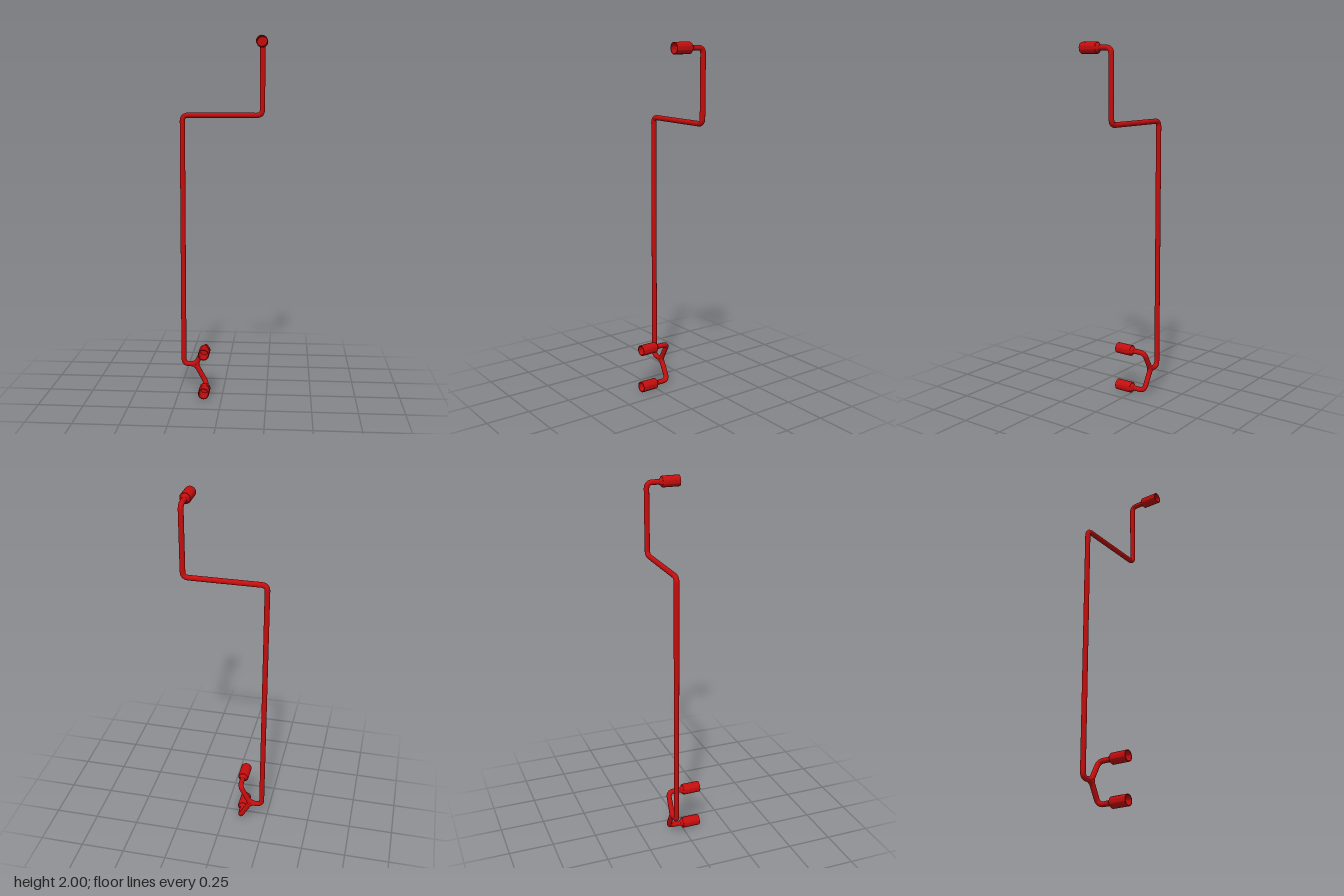
import * as THREE from 'three';
import { toCreasedNormals } from 'three/addons/utils/BufferGeometryUtils.js';

const R = 0.0145;      // pipe radius
const BACK = -0.0855;  // plane in which the pipe runs
const material = new THREE.MeshStandardMaterial({ color: 0xc40d0d, side: THREE.DoubleSide });

// Curve through listed points, sampled exactly at those points
class PointPath extends THREE.Curve {
  constructor(points) { super(); this.points = points; }
  getPointAt(t, target = new THREE.Vector3()) {
    return target.copy(this.points[Math.round(t * (this.points.length - 1))]);
  }
  getTangentAt(t, target = new THREE.Vector3()) {
    const p = this.points, i = Math.round(t * (p.length - 1));
    const dir = (a, b) => p[b].clone().sub(p[a]).normalize();
    target.set(0, 0, 0);
    if (i > 0) target.add(dir(i - 1, i));
    if (i < p.length - 1) target.add(dir(i, i + 1));
    return target.normalize();
  }
}

// Pipe along straight runs whose corners are rounded; a corner is [x, y, z, bend length]
function pipe(name, corners) {
  const v = corners.map(c => new THREE.Vector3(c[0], c[1], c[2]));
  const points = [v[0]];
  for (let i = 1; i < v.length - 1; i++) {
    const bend = corners[i][3] ?? 0.032;
    const toward = q => v[i].clone().add(q.clone().sub(v[i]).setLength(bend));
    points.push(...new THREE.QuadraticBezierCurve3(toward(v[i - 1]), v[i], toward(v[i + 1])).getPoints(8));
  }
  points.push(v[v.length - 1]);
  const mesh = new THREE.Mesh(new THREE.TubeGeometry(new PointPath(points), points.length - 1, R, 20), material);
  mesh.name = name;
  return mesh;
}

// Hollow sleeve with a tapered neck, opening toward the front
function connector(name, x, y) {
  const profile = [[R, -0.016], [0.02, -0.006], [0.0265, 0], [0.029, 0], [0.031, 0.003], [0.031, 0.1],
    [0.026, 0.1], [0.026, 0.012], [0, 0.012]].map(p => new THREE.Vector2(...p));
  const geometry = new THREE.LatheGeometry(profile, 28).rotateX(Math.PI / 2);
  const mesh = new THREE.Mesh(toCreasedNormals(geometry, 0.6), material);
  mesh.position.set(x, y, 0);
  mesh.name = name;
  return mesh;
}

export function createModel() {
  const group = new THREE.Group();
  group.name = 'branchedPipe';
  const left = 0.214, right = -0.2305, armX = -0.1;
  const topY = 1.969, crossY = 1.576, forkY = 0.144, upperY = 0.256, lowerY = 0.031;
  const fork = [-0.162, forkY, BACK];

  // Main run: top outlet, down, across, down to the fork
  group.add(pipe('mainPipe', [
    [left, topY, 0.005], [left, topY, BACK], [left, crossY, BACK],
    [right, crossY, BACK], [right, forkY, BACK], [-0.192, forkY, BACK],
  ]));

  // Fork: each arm sweeps out of the main run, then turns forward to its outlet
  for (const [name, y] of [['upperArm', upperY], ['lowerArm', lowerY]]) {
    group.add(pipe(name, [
      [-0.2, forkY, BACK], [...fork, 0.03], [armX, y, BACK], [armX, y, 0.005],
    ]));
  }

  // Fillet joining the two arms in the crotch of the fork
  const inner = s => [-0.143, forkY + s * 0.034, BACK];
  group.add(pipe('forkFillet', [inner(1), [...fork, 0.025], inner(-1)]));

  // Outlets
  group.add(connector('topConnector', left, topY));
  group.add(connector('upperConnector', armX, upperY));
  group.add(connector('lowerConnector', armX, lowerY));
  return group;
}
